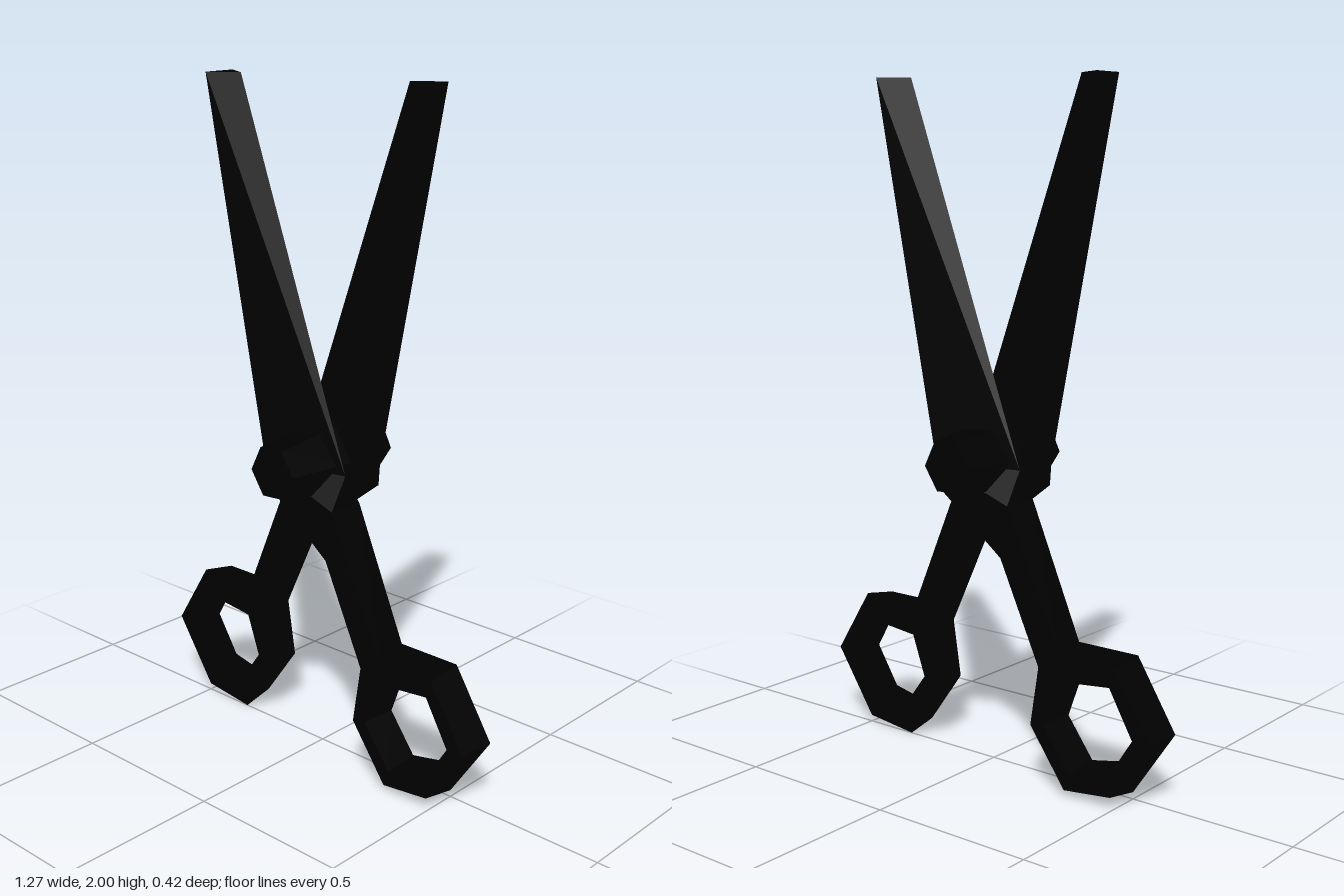
import * as THREE from 'three';

const material = new THREE.MeshStandardMaterial({ color: 0x000000, flatShading: true });
const T = 0.105; // thickness of one half

// Plate from z = 0 to T. Each corner is [x, y, frontX, frontY, frontZ, backZ]:
// its place on the inner face, then on the outer face, then the inner face's z.
// Outlines run one way round, holes the other.
function plate(name, outline, hole) {
  const toV = (p) => new THREE.Vector2(p[0], p[1]);
  const shape = new THREE.Shape(outline.map(toV));
  if (hole) shape.holes.push(new THREE.Path(hole.map(toV)));
  const geo = new THREE.ExtrudeGeometry(shape, { depth: T, bevelEnabled: false });
  const pos = geo.attributes.position;
  const corners = hole ? outline.concat(hole) : outline;
  for (let i = 0; i < pos.count; i++) {
    const x = pos.getX(i), y = pos.getY(i);
    const c = corners.find((p) => Math.hypot(p[0] - x, p[1] - y) < 1e-4);
    if (pos.getZ(i) > T / 2) pos.setXYZ(i, c[2], c[3], c[4]);
    else pos.setZ(i, c[5]);
  }
  geo.computeVertexNormals();
  const mesh = new THREE.Mesh(geo, material);
  mesh.name = name;
  return mesh;
}

// Corner kinds: full thickness, sharp cutting edge, bevelled, scaled about a centre
const straight = (x, y) => [x, y, x, y, T, 0];
const sharp = (x, y) => [x, y, x, y, 0.05, 0.05];
const bevel = (x, y, fx, fy) => [x, y, fx, fy, T, 0];
const scaled = (cx, cy, s) => ([x, y]) => bevel(x, y, cx + (x - cx) * s, cy + (y - cy) * s);

function createHalf(name) {
  const half = new THREE.Group();
  half.name = name;

  // Blade: triangular section, thick spine and sharp inner edge
  half.add(plate('blade', [
    straight(-0.35, 2), straight(-0.13, 0.9), sharp(0.134, 0.9), sharp(-0.265, 2),
  ]));

  // Joint around the pivot
  const jointLow = bevel(0.1, 0.64, 0.108, 0.652);
  const jointSide = bevel(0.143, 0.81, 0.132, 0.805);
  half.add(plate('joint', [
    straight(-0.13, 0.9), bevel(-0.14, 0.825, -0.125, 0.832), jointLow, jointSide, sharp(0.134, 0.9),
  ]));

  // Finger ring: both walls lean in towards the outer face
  const outer = [
    [0.31, 0.42], [0.51, 0.42], [0.635, 0.22], [0.5, 0.02], [0.33, 0], [0.2, 0.18], [0.23, 0.37],
  ].map(scaled(0.415, 0.215, 0.92));
  const inner = [
    [0.275, 0.195], [0.36, 0.08], [0.48, 0.105], [0.55, 0.215], [0.48, 0.337], [0.32, 0.32],
  ].map(scaled(0.415, 0.215, 1.1));
  half.add(plate('fingerRing', outer, inner));

  // Shank from the joint to the ring's upper corners
  half.add(plate('shank', [jointSide, jointLow, outer[6], outer[0]]));
  return half;
}

export function createModel() {
  const model = new THREE.Group();
  model.name = 'scissors';

  // Two identical halves, back to back
  const front = createHalf('frontHalf');
  const back = createHalf('backHalf');
  back.rotation.y = Math.PI;
  model.add(front, back);

  // Six-sided pivot screw, tapering to each end
  for (const side of [1, -1]) {
    const geo = new THREE.CylinderGeometry(0.082, 0.112, 0.21, 6);
    geo.translate(0, 0.105, 0);
    geo.rotateY(Math.PI / 6 + 0.06);
    geo.rotateX(Math.PI / 2);
    const head = new THREE.Mesh(geo, material);
    head.name = side > 0 ? 'frontScrewHead' : 'backScrewHead';
    head.position.y = 0.917;
    head.rotation.y = side > 0 ? 0 : Math.PI;
    model.add(head);
  }
  return model;
}
